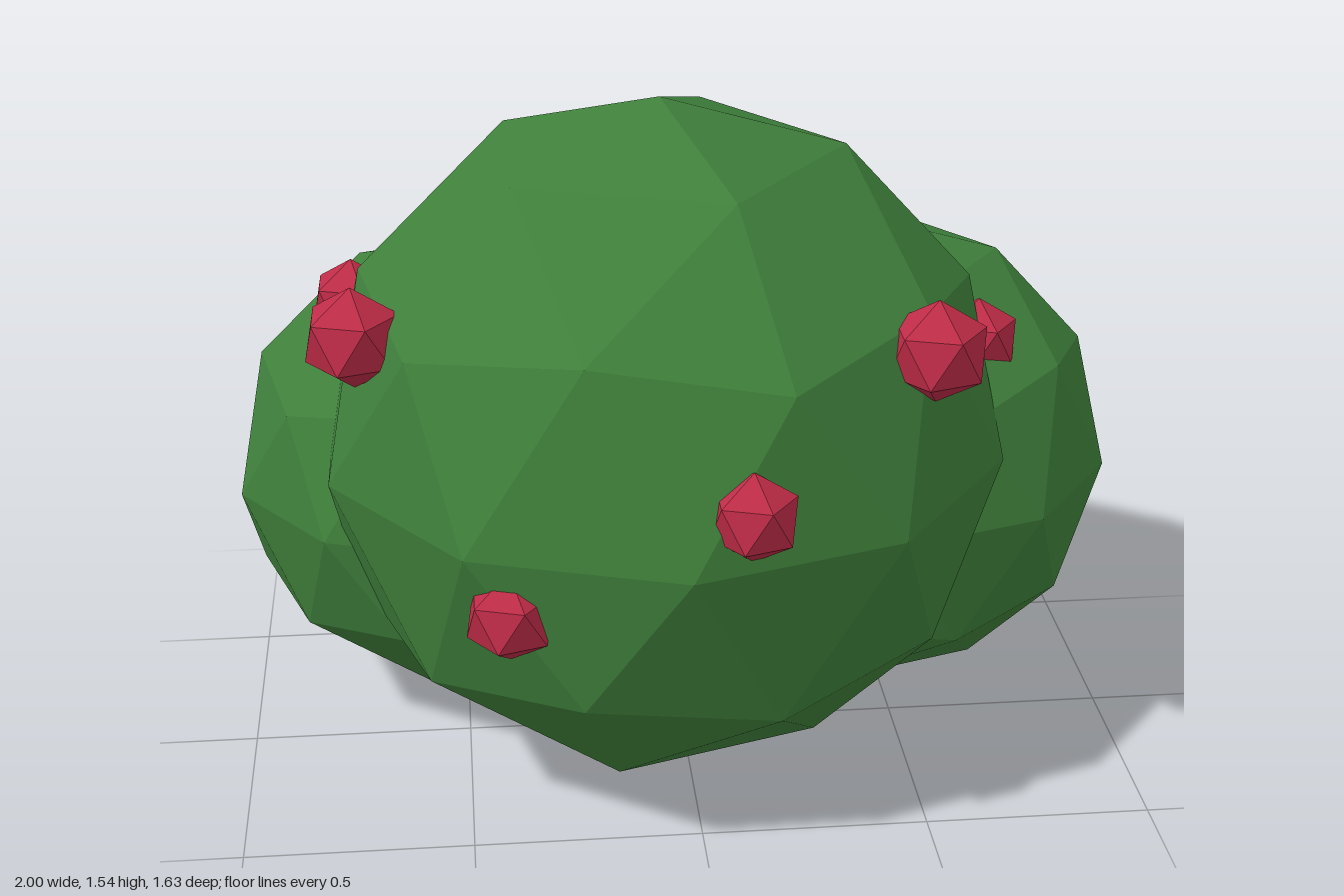
import * as THREE from 'three';

// Faceted ball with one corner pointing straight up and a ring corner toward +x
function facetedBall(radius, detail) {
  const geometry = new THREE.IcosahedronGeometry(radius, detail);
  geometry.rotateZ(-Math.atan(2 / (1 + Math.sqrt(5))));
  geometry.computeVertexNormals();
  return geometry;
}

export function createModel() {
  const model = new THREE.Group();
  model.name = 'berryBush';

  const leafGreen = new THREE.MeshStandardMaterial({ color: 0x3f803b, flatShading: true });
  leafGreen.name = 'leafGreen';
  const berryRed = new THREE.MeshStandardMaterial({ color: 0xbe2c47, flatShading: true });
  berryRed.name = 'berryRed';

  const addBall = (name, material, detail, [x, y, z, radius]) => {
    const mesh = new THREE.Mesh(facetedBall(radius, detail), material);
    mesh.name = name;
    mesh.position.set(x, y, z);
    model.add(mesh);
  };

  // Foliage: one large clump with two smaller ones behind (x, y, z, radius)
  addBall('mainFoliage', leafGreen, 1, [-0.05, 0.771, 0.028, 0.77]);
  addBall('leftFoliage', leafGreen, 1, [0.458, 0.602, -0.228, 0.565]);
  addBall('rightFoliage', leafGreen, 1, [-0.489, 0.583, -0.278, 0.54]);

  // Berries half set into the foliage (x, y, z, radius)
  const berries = [
    [0.482, 1.118, 0.477, 0.112],
    [0.075, 0.882, 0.733, 0.098],
    [-0.41, 0.635, 0.635, 0.1],
    [0.66, 0.97, 0.047, 0.095],
    [-0.714, 1.108, 0.265, 0.112],
    [-0.73, 1.01, -0.215, 0.1],
    [-0.4, 1.118, -0.58, 0.108],
    [0.068, 1.048, -0.68, 0.105],
    [0.465, 1.03, -0.435, 0.1],
  ];
  berries.forEach((berry, i) => addBall(`berry${i + 1}`, berryRed, 0, berry));

  return model;
}
